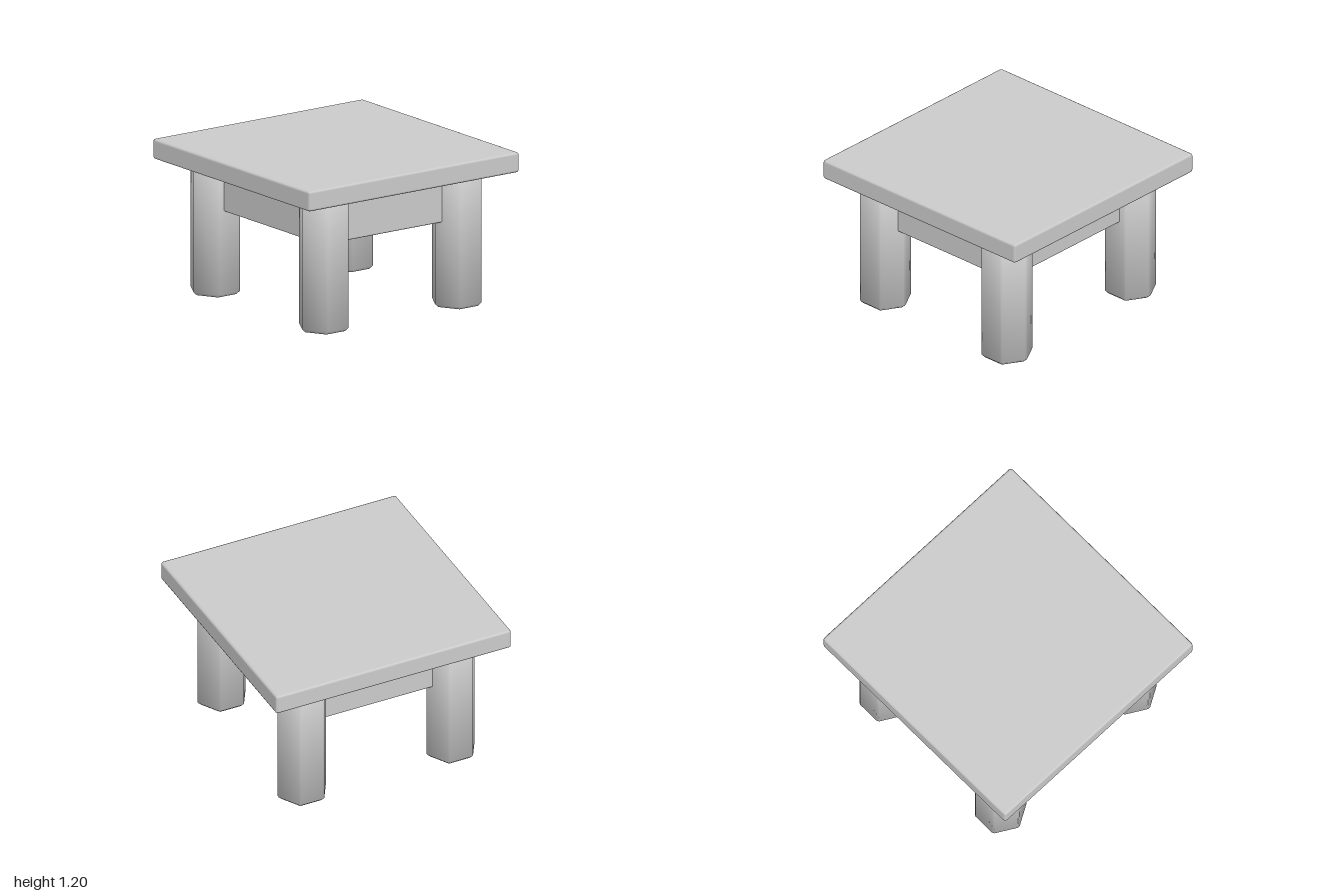
import * as THREE from 'three';
import { toCreasedNormals } from 'three/addons/utils/BufferGeometryUtils.js';
import { RoundedBoxGeometry } from 'three/addons/geometries/RoundedBoxGeometry.js';

const LEG_X = 0.632, LEG_Z = 0.692;   // leg centres
const TOP_Y = 1.04;                   // underside of the table top

// Hexagonal prism with softened corners and chamfered ends, standing on y = 0
function hexLeg(radius, height, bevel) {
  const points = [];
  for (let i = 0; i < 6; i++) {
    const a = i * Math.PI / 3;
    for (const s of [-0.05, 0.05]) {
      points.push(new THREE.Vector2(Math.cos(a + s), Math.sin(a + s)).multiplyScalar(radius));
    }
  }
  const geo = new THREE.ExtrudeGeometry(new THREE.Shape(points), {
    depth: height - 2 * bevel, bevelEnabled: true, bevelSegments: 1,
    bevelSize: bevel, bevelThickness: bevel, bevelOffset: -bevel,
  });
  geo.translate(0, 0, bevel).rotateX(-Math.PI / 2);
  return toCreasedNormals(geo, Math.PI / 3);
}

export function createModel() {
  const model = new THREE.Group();
  const grey = new THREE.MeshStandardMaterial({ color: 0xcccccc });
  grey.name = 'plainGrey';

  const add = (name, geo, x, y, z) => {
    const mesh = new THREE.Mesh(geo, grey);
    mesh.name = name;
    mesh.position.set(x, y, z);
    model.add(mesh);
  };

  // Table top
  add('tableTop', new RoundedBoxGeometry(2, 0.16, 2, 1, 0.02), 0, TOP_Y + 0.08, 0);

  // Legs, with their upper ends let into the top
  const leg = hexLeg(0.2, TOP_Y + 0.05, 0.025);
  for (const [sx, side] of [[1, 'Left'], [-1, 'Right']]) {
    for (const [sz, end] of [[1, 'front'], [-1, 'back']]) {
      add(`${end}${side}Leg`, leg, sx * LEG_X, 0, sz * LEG_Z);
    }
  }

  // Aprons joining the legs under the top
  const bottom = 0.675, height = TOP_Y + 0.03 - bottom, y = bottom + height / 2;
  const longApron = new RoundedBoxGeometry(2 * LEG_X, height, 0.1, 1, 0.015);
  const sideApron = new RoundedBoxGeometry(0.1, height, 2 * LEG_Z, 1, 0.015);
  add('frontApron', longApron, 0, y, LEG_Z);
  add('backApron', longApron, 0, y, -LEG_Z);
  add('leftApron', sideApron, LEG_X, y, 0);
  add('rightApron', sideApron, -LEG_X, y, 0);

  return model;
}
